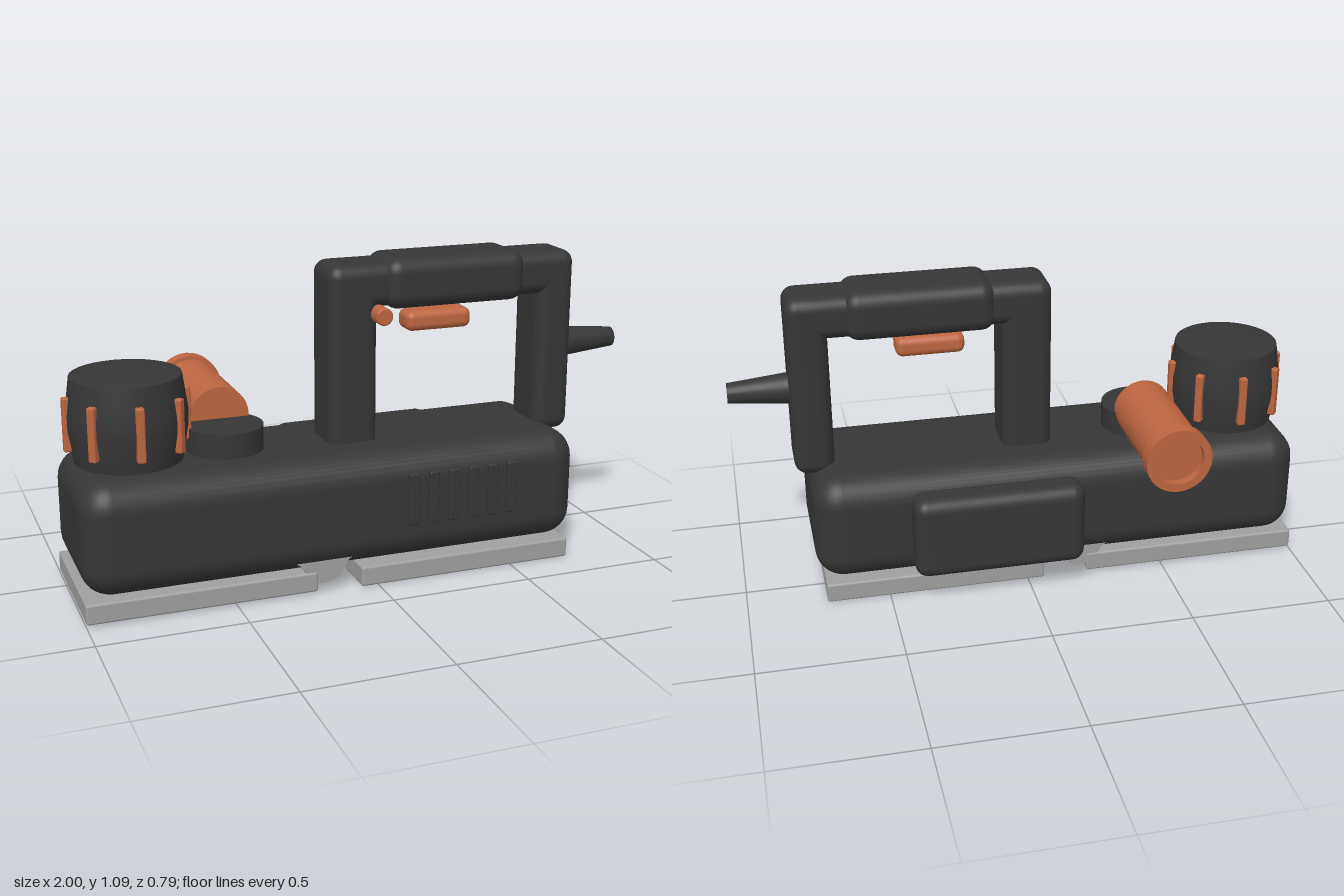
import * as THREE from 'three';
import { toCreasedNormals } from 'three/addons/utils/BufferGeometryUtils.js';
import { RoundedBoxGeometry } from 'three/addons/geometries/RoundedBoxGeometry.js';

const mat = (name, color) => {
  const m = new THREE.MeshStandardMaterial({ color });
  m.name = name;
  return m;
};

export function createModel() {
  const dark = mat('darkPlastic', 0x363636);
  const orange = mat('orangePlastic', 0xbd6640);
  const grey = mat('greyMetal', 0xa0a0a0);
  const model = new THREE.Group();
  model.name = 'planer';
  const Z = 0.115; // centre line of the tool

  const add = (name, geometry, material, parent = model) => {
    const mesh = new THREE.Mesh(geometry, material);
    mesh.name = name;
    parent.add(mesh);
    return mesh;
  };
  // Rounded box from its min and max corners
  const block = (name, material, [x0, y0, z0], [x1, y1, z1], radius, segments = 4) => {
    const g = new RoundedBoxGeometry(x1 - x0, y1 - y0, z1 - z0, segments, radius);
    g.translate((x0 + x1) / 2, (y0 + y1) / 2, (z0 + z1) / 2);
    return add(name, g, material);
  };
  // Turned part from [radius, height] pairs
  const turned = (points, segments = 32) => toCreasedNormals(
    new THREE.LatheGeometry(points.map(([r, y]) => new THREE.Vector2(r, y)), segments), 0.5);

  // Housing and side cover
  block('housing', dark, [-1, 0.08, -0.15], [0.75, 0.47, 0.38], 0.1);
  block('sideCover', dark, [-0.18, 0.125, -0.26], [0.42, 0.425, -0.13], 0.045);

  // Cooling ribs on the front
  for (let i = 0; i < 6; i++) {
    const x = 0.118 + i * 0.0728;
    block('vent', dark, [x - 0.018, 0.213, 0.365], [x + 0.018, 0.398, 0.394], 0.006, 2);
  }

  // Handle
  block('frontPost', dark, [-0.12, 0.4, 0.015], [0.057, 1.08, 0.215], 0.045);
  block('rearPost', dark, [0.653, 0.43, 0.015], [0.793, 1.08, 0.215], 0.045);
  block('handleBar', dark, [-0.12, 0.93, 0.015], [0.793, 1.08, 0.215], 0.045);
  block('grip', dark, [0.08, 0.92, -0.005], [0.595, 1.093, 0.235], 0.05);
  block('trigger', orange, [0.18, 0.825, 0.065], [0.42, 0.895, 0.165], 0.025);

  const button = add('lockButton', turned([[0, 0], [0.03, 0], [0.03, 0.08], [0.026, 0.085], [0, 0.085]], 20), orange);
  button.rotation.x = Math.PI / 2;
  button.position.set(0.055, 0.912, 0.183);

  // Cable sleeve
  const sleeve = add('cableSleeve', turned([[0, 0], [0.056, 0], [0.035, 0.22], [0, 0.22]], 24), dark);
  sleeve.rotation.z = -Math.PI / 2;
  sleeve.position.set(0.78, 0.732, Z);

  // Depth knob with finger ribs
  const knob = new THREE.Group();
  knob.name = 'depthKnob';
  knob.position.set(-0.79, 0, Z);
  model.add(knob);
  add('knobBody', turned([[0, 0.46], [0.18, 0.475], [0.2, 0.59], [0.2, 0.64], [0.183, 0.762], [0, 0.79]]), dark, knob);
  for (let i = 0; i < 8; i++) {
    const g = new RoundedBoxGeometry(0.04, 0.182, 0.028, 2, 0.006);
    g.translate(0.192, 0.61, 0);
    add('knobRib', g, orange, knob).rotation.y = i * Math.PI / 4;
  }

  // Chip outlet: base and recessed pipe
  add('outletBase', new THREE.CylinderGeometry(0.13, 0.13, 0.115, 32), dark).position.set(-0.46, 0.4975, 0.112);
  const pipe = add('outletPipe', turned([
    [0, -0.05], [0.103, -0.05], [0.103, 0.34], [0.115, 0.34], [0.115, 0.392],
    [0.087, 0.392], [0.087, 0.36], [0, 0.36],
  ]), orange);
  pipe.rotation.x = -Math.PI / 2;
  pipe.position.set(-0.46, 0.562, 0);

  // Sole plates
  block('frontSole', grey, [-1, 0.01, -0.13], [-0.217, 0.08, 0.363], 0.008, 2);
  block('rearSole', grey, [-0.06, 0.003, -0.13], [0.722, 0.073, 0.363], 0.008, 2);

  // Cutter hub between the soles
  const hub = new THREE.Shape();
  hub.moveTo(-0.3, 0.16);
  hub.lineTo(-0.3, 0.12);
  hub.quadraticCurveTo(-0.27, 0.11, -0.255, 0.075);
  hub.quadraticCurveTo(-0.235, 0.037, -0.195, 0.037);
  hub.quadraticCurveTo(-0.145, 0.037, -0.125, 0.078);
  hub.quadraticCurveTo(-0.115, 0.108, -0.09, 0.12);
  hub.lineTo(-0.09, 0.16);
  const hubGeometry = new THREE.ExtrudeGeometry(hub, { depth: 0.485, bevelEnabled: false, curveSegments: 8 });
  hubGeometry.translate(0, 0, -0.127);
  add('cutterHub', toCreasedNormals(hubGeometry, 0.5), grey);

  return model;
}
